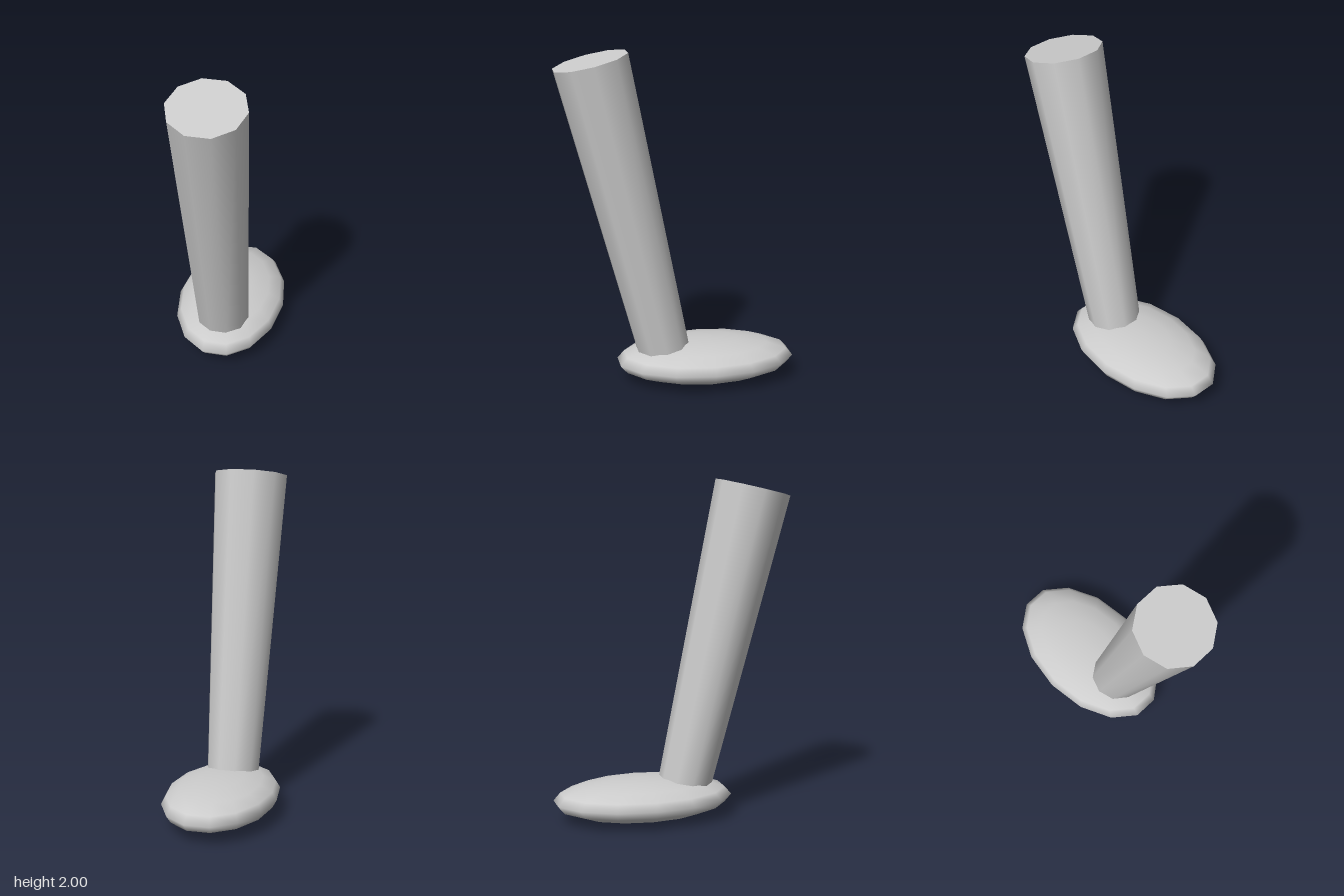
import * as THREE from 'three';

export function createModel() {
  const group = new THREE.Group();
  const grey = new THREE.MeshStandardMaterial({ color: 0xcccccc });
  grey.name = 'light grey';

  // Flattened oval foot, 14 sides around
  const foot = new THREE.Mesh(new THREE.SphereGeometry(1, 14, 8), grey);
  foot.name = 'foot';
  foot.scale.set(0.333, 0.123, 0.541);
  foot.position.set(0, 0.124, -0.177);
  group.add(foot);

  // Tapered ten-sided shaft leaning forward, its lower end sunk in the foot
  const length = 1.88;
  const shaftGeometry = new THREE.CylinderGeometry(0.225, 0.156, length, 10);
  shaftGeometry.rotateY(Math.PI / 2); // corners on the x axis
  shaftGeometry.translate(0, -length / 2, 0); // pivot at the top centre
  const shaft = new THREE.Mesh(shaftGeometry, grey);
  shaft.name = 'shaft';
  shaft.position.set(0, 1.95, 0.495);
  shaft.rotation.x = THREE.MathUtils.degToRad(13.3);
  group.add(shaft);

  return group;
}
